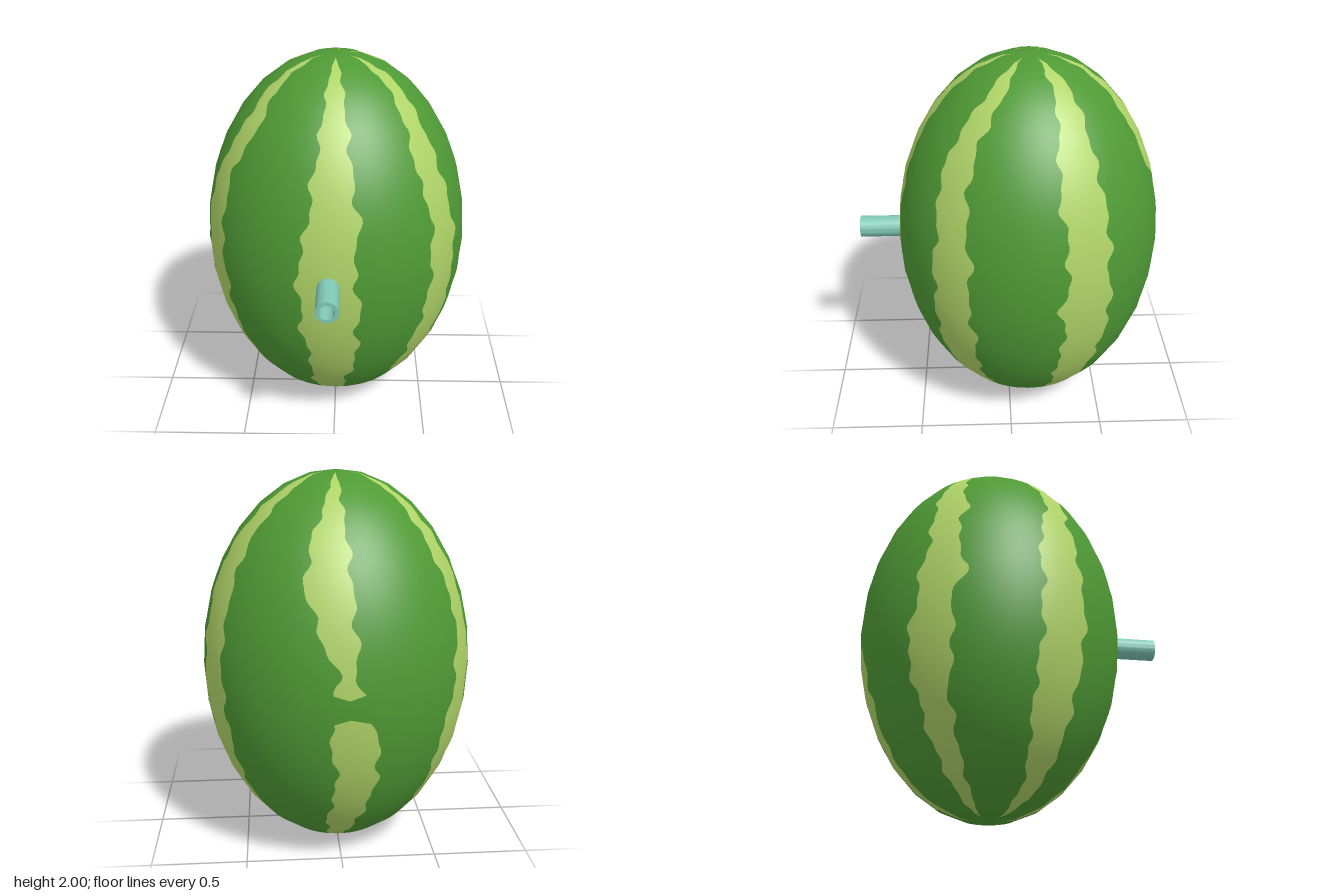
import * as THREE from 'three';
import { toCreasedNormals } from 'three/addons/utils/BufferGeometryUtils.js';

const CENTER = new THREE.Vector3(0, 1, -0.105);
const RX = 0.71, RY = 1, RZ = 0.705;
const COLS = 32, ROWS = 16, FINE = 128;
const RAD = Math.PI / 180;

// Heights at which the stripe edges are given, as angles from the pole
const KNOTS = [1.993, 1.9, 1.7, 1.5, 1.3, 1.1, 0.9, 0.7, 0.5, 0.3, 0.1, 0.007].map((y) => Math.acos(y - 1));

// Left and right edge of each stripe in degrees around the fruit, top to bottom
const STRIPES = [
  { left: [-7, -8, -10, -11, -15, -14, -14, -11, -14, -11], right: [7, 8, 9, 11, 8, 11, 10, 11, 7, 7] },
  { left: [51, 44, 42, 46, 45, 45, 43, 41, 39, 45], right: [66, 59, 59, 61, 64, 62, 64, 62, 61, 65] },
  { left: [109, 103, 101, 103, 104, 101, 104, 102, 103, 104], right: [126, 122, 122, 123, 122, 124, 124, 123, 123, 120] },
  { left: [168, 162, 162, 170, 177, 173, 175, 176, 171, 168], right: [180, 182, 183, 184, 184, 190, 194, 194, 190, 184], gap: [0.9, 1.01] },
  { left: [235, 233, 235, 237, 234, 232, 227, 229, 230, 232], right: [247, 247, 252, 249, 254, 248, 249, 245, 246, 246] },
  { left: [293, 297, 291, 285, 285, 285, 285, 284, 286, 294], right: [305, 312, 304, 304, 304, 306, 306, 306, 308, 311] },
];

function interpolate(values, t) {
  const list = [values[0], ...values, values[values.length - 1]];
  if (t <= KNOTS[0]) return list[0];
  for (let i = 1; i < KNOTS.length; i++) {
    if (t <= KNOTS[i]) {
      return THREE.MathUtils.mapLinear(t, KNOTS[i - 1], KNOTS[i], list[i - 1], list[i]);
    }
  }
  return list[list.length - 1];
}

// Edges of stripe k at polar angle t, with a ragged wiggle and pointed ends
function stripeEdges(k, t) {
  const s = STRIPES[k];
  let l = interpolate(s.left, t);
  let r = interpolate(s.right, t);
  const mid = (l + r) / 2;
  l += 1.2 * Math.sin(23 * t + k * 2.1) + 0.8 * Math.sin(47 * t + k);
  r += 1.2 * Math.sin(26 * t + k * 1.3 + 1) + 0.8 * Math.sin(43 * t + k * 3);
  const y = 1 + Math.cos(t);
  const inGap = s.gap && y > s.gap[0] && y < s.gap[1];
  const ends = THREE.MathUtils.clamp((Math.min(t, Math.PI - t) - 0.1) / 0.2, 0, 1);
  const f = inGap ? 0 : ends;
  return [mid + (l - mid) * f, mid + (r - mid) * f];
}

function ellipsoid(a, t) {
  return new THREE.Vector3(RX * Math.sin(t) * Math.sin(a), RY * Math.cos(t), RZ * Math.sin(t) * Math.cos(a));
}

// Point on the coarse faceted shell
function shellPoint(a, t) {
  const da = (2 * Math.PI) / COLS, dt = Math.PI / ROWS;
  const i = Math.floor(a / da + 1e-6), j = Math.min(ROWS - 1, Math.floor(t / dt + 1e-6));
  const u = a / da - i, v = t / dt - j;
  const top = ellipsoid(i * da, j * dt).lerp(ellipsoid((i + 1) * da, j * dt), u);
  const low = ellipsoid(i * da, (j + 1) * dt).lerp(ellipsoid((i + 1) * da, (j + 1) * dt), u);
  return top.lerp(low, v);
}

// Pole-to-pole slice of rind between two edge curves
function sliceGeometry(edges, columns) {
  const pos = [], nor = [], index = [];
  for (let i = 0; i <= FINE; i++) {
    const t = (i / FINE) * Math.PI;
    const [a0, a1] = edges(t);
    for (let j = 0; j <= columns; j++) {
      const a = THREE.MathUtils.lerp(a0, a1, j / columns) * RAD;
      const n = ellipsoid(a, t);
      n.set(n.x / RX ** 2, n.y / RY ** 2, n.z / RZ ** 2).normalize();
      pos.push(...shellPoint(a, t).add(CENTER).toArray());
      nor.push(...n.toArray());
      if (i < FINE && j < columns) {
        const p = i * (columns + 1) + j, q = p + columns + 1;
        index.push(p, q, q + 1, p, q + 1, p + 1);
      }
    }
  }
  const geo = new THREE.BufferGeometry();
  geo.setAttribute('position', new THREE.Float32BufferAttribute(pos, 3));
  geo.setAttribute('normal', new THREE.Float32BufferAttribute(nor, 3));
  geo.setIndex(index);
  return geo;
}

function material(name, color) {
  const m = new THREE.MeshStandardMaterial({ color });
  m.name = name;
  return m;
}

export function createModel() {
  const model = new THREE.Group();
  model.name = 'melon';
  const rindGreen = material('rind green', 0x4f9a35);
  const stripeGreen = material('pale stripe green', 0xb0d468);
  const spoutTeal = material('spout teal', 0x80c8b4);

  const add = (name, geo, mat) => {
    const mesh = new THREE.Mesh(geo, mat);
    mesh.name = name;
    model.add(mesh);
    return mesh;
  };

  // Rind: alternating pale stripes and green slices
  STRIPES.forEach((_, k) => {
    const next = (k + 1) % STRIPES.length;
    const turn = next === 0 ? 360 : 0;
    add('stripe' + (k + 1), sliceGeometry((t) => stripeEdges(k, t), 4), stripeGreen);
    add('rind' + (k + 1), sliceGeometry((t) => [stripeEdges(k, t)[1], stripeEdges(next, t)[0] + turn], 8), rindGreen);
  });

  // Hollow spout on the front
  const ring = new THREE.Shape().absarc(0, 0, 0.058, 0, Math.PI * 2, false);
  ring.holes.push(new THREE.Path().absarc(0, 0, 0.039, 0, Math.PI * 2, true));
  const tube = new THREE.ExtrudeGeometry(ring, { depth: 0.235, bevelEnabled: false, curveSegments: 24 });
  const spout = add('spout', toCreasedNormals(tube, 0.6), spoutTeal);
  spout.position.set(-0.025, 1, 0.58);

  return model;
}
